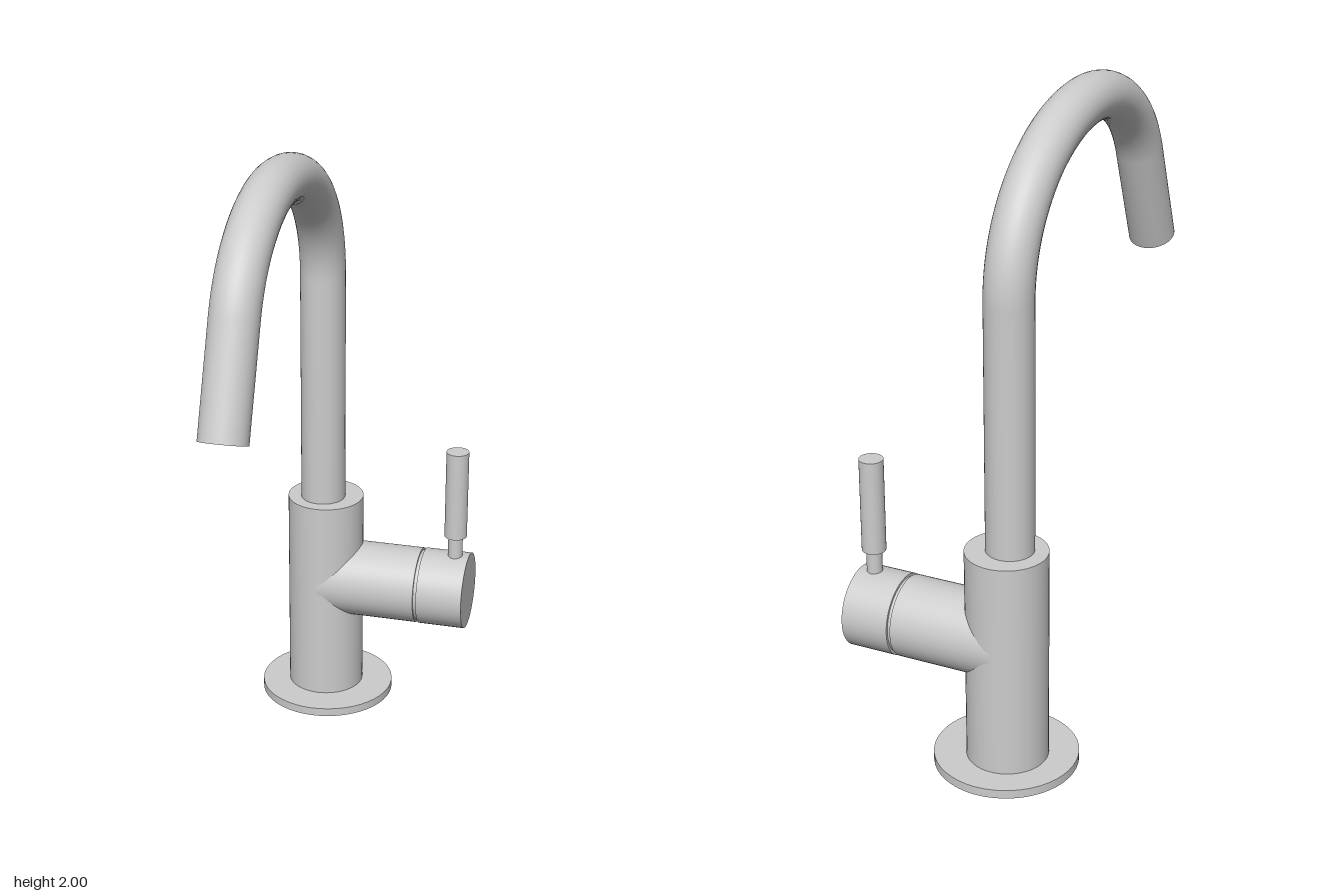
import * as THREE from 'three';

const material = new THREE.MeshStandardMaterial({ color: 0xcccccc });

export function createModel() {
  const model = new THREE.Group();
  model.name = 'faucet';

  function add(name, geometry, x = 0, y = 0, z = 0) {
    const mesh = new THREE.Mesh(geometry, material);
    mesh.name = name;
    mesh.position.set(x, y, z);
    model.add(mesh);
    return mesh;
  }

  // Upright cylinder between two heights
  const upright = (name, r, y0, y1, x, z) =>
    add(name, new THREE.CylinderGeometry(r, r, y1 - y0, 48), x, (y0 + y1) / 2, z);

  // Sideways cylinder between two x positions
  const sideways = (name, r, x0, x1) => {
    const geometry = new THREE.CylinderGeometry(r, r, x1 - x0, 48).rotateZ(-Math.PI / 2);
    return add(name, geometry, (x0 + x1) / 2, 0.422, -0.461);
  };

  // Base and body
  upright('baseFlange', 0.221, 0, 0.028, -0.132, -0.452);
  upright('body', 0.125, 0.028, 0.718, -0.14, -0.461);

  // Side arm, groove and turning knob
  sideways('sideArm', 0.126, -0.14, 0.187);
  sideways('knobGroove', 0.119, 0.187, 0.198);
  sideways('knob', 0.127, 0.198, 0.35);

  // Lever on the knob
  upright('leverStem', 0.024, 0.52, 0.62, 0.303, -0.459);
  upright('leverHandle', 0.037, 0.62, 0.922, 0.303, -0.459);

  // Gooseneck spout: straight riser, bend, straight outlet
  const px = -0.147;
  const p = (z, y) => new THREE.Vector3(px, y, z);
  const path = new THREE.CurvePath();
  path.add(new THREE.LineCurve3(p(-0.452, 0.7), p(-0.452, 1.49)));
  path.add(new THREE.CubicBezierCurve3(p(-0.452, 1.49), p(-0.452, 1.74), p(-0.22, 1.927), p(0.07, 1.927)));
  path.add(new THREE.CubicBezierCurve3(p(0.07, 1.927), p(0.24, 1.927), p(0.415, 1.835), p(0.483, 1.67)));
  path.add(new THREE.LineCurve3(p(0.483, 1.67), p(0.61, 1.347)));
  const radius = 0.073;
  add('spout', new THREE.TubeGeometry(path, 120, radius, 32, false));

  // Closed outlet face at the tip
  const tip = add('spoutOutlet', new THREE.CircleGeometry(radius, 32), px, 1.347, 0.61);
  tip.quaternion.setFromUnitVectors(new THREE.Vector3(0, 0, 1), path.getTangent(1));

  return model;
}
